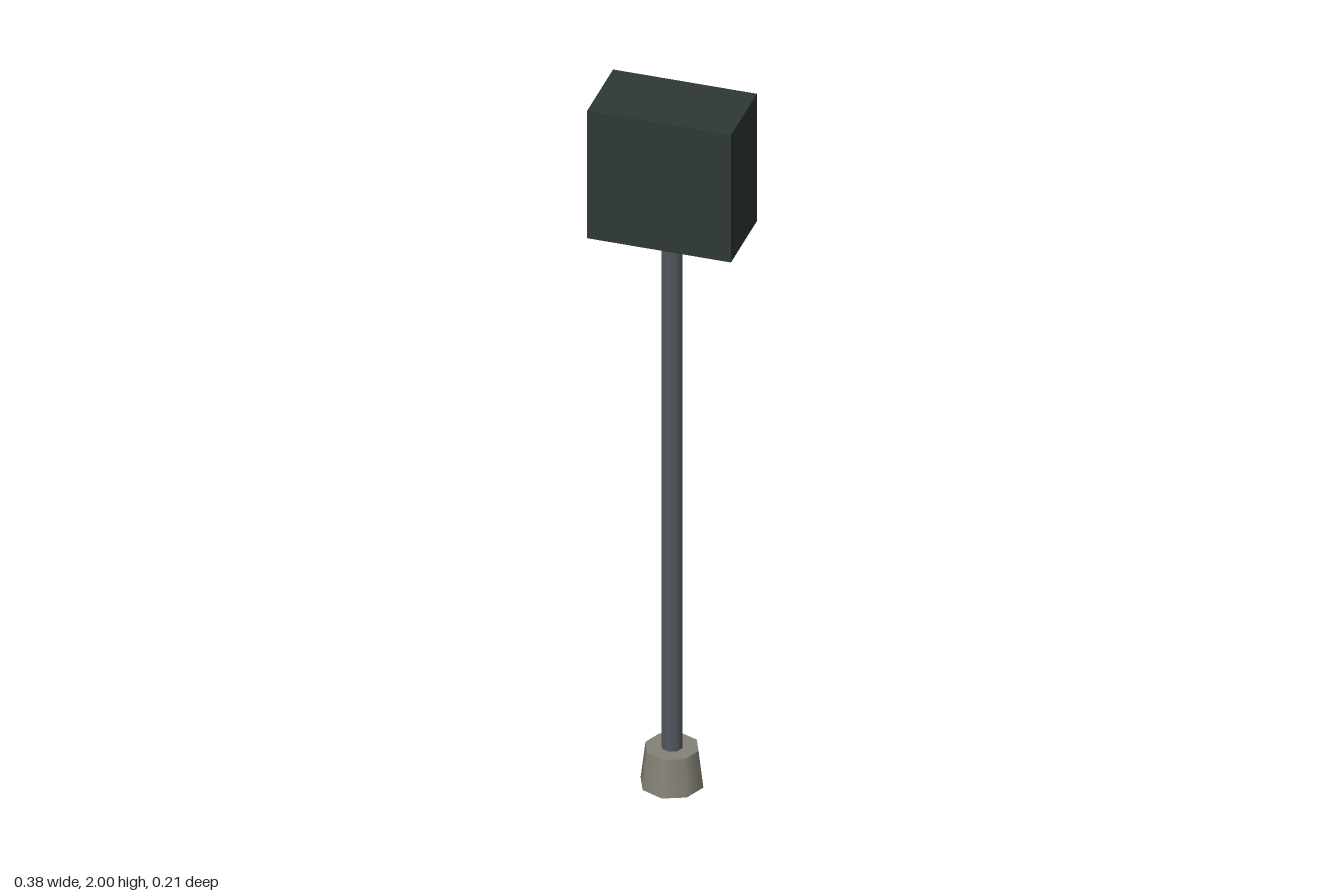
import * as THREE from 'three';

export function createModel() {
  const group = new THREE.Group();
  const material = (name, color) => {
    const m = new THREE.MeshStandardMaterial({ color });
    m.name = name;
    return m;
  };
  const add = (name, geometry, mat, y) => {
    const mesh = new THREE.Mesh(geometry, mat);
    mesh.name = name;
    mesh.position.y = y;
    group.add(mesh);
  };

  // Tapered concrete footing
  add('footing', new THREE.CylinderGeometry(0.07, 0.083, 0.106, 8), material('concrete', 0x858377), 0.053);

  // Slim post running from the ground up to the sign box
  add('post', new THREE.CylinderGeometry(0.028, 0.028, 1.63, 8), material('steel grey', 0x54595e), 0.815);

  // Plain box on top of the post
  add('signBox', new THREE.BoxGeometry(0.38, 0.375, 0.21), material('dark green grey', 0x2f3836), 1.8125);

  return group;
}
